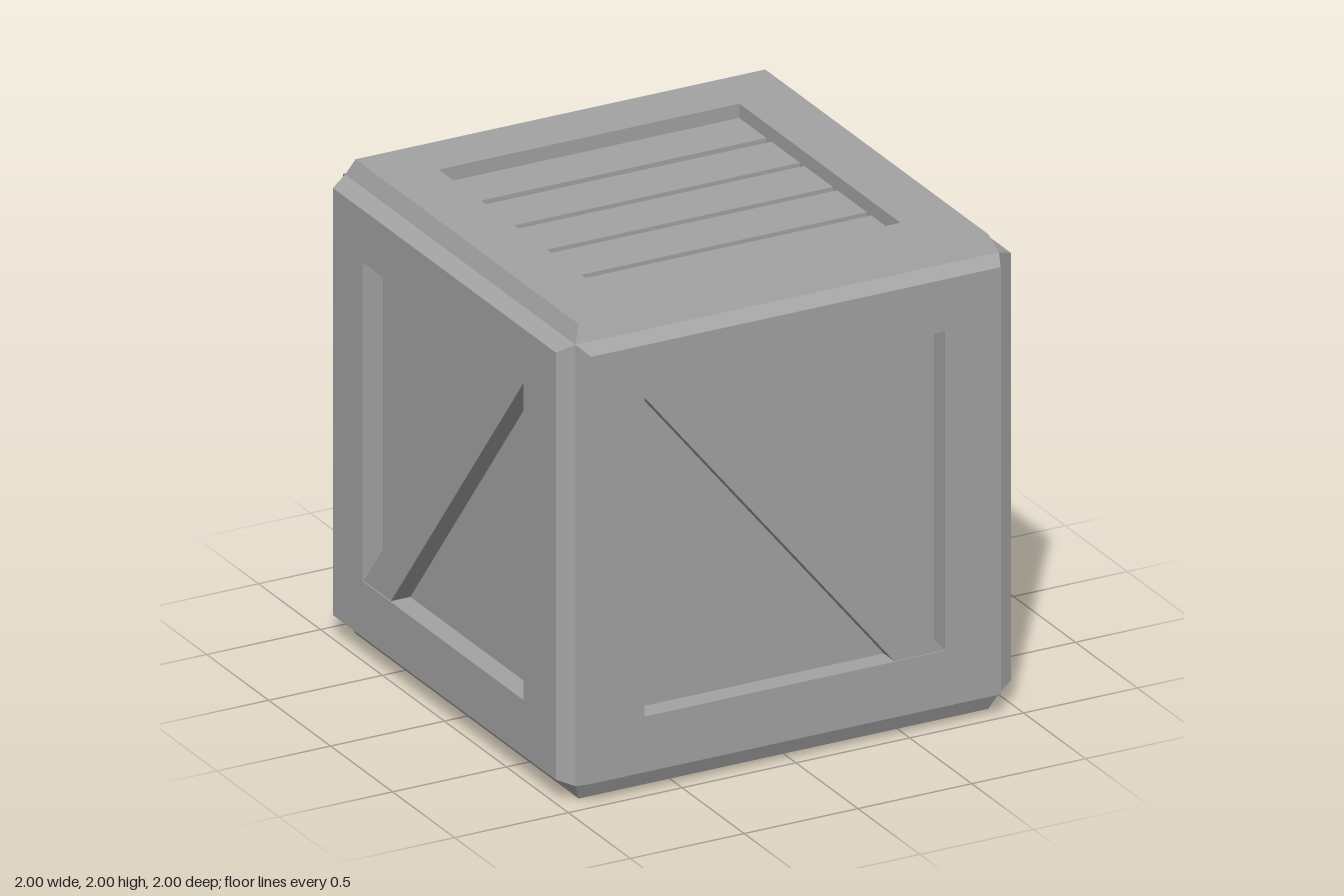
import * as THREE from 'three';

const grey = new THREE.MeshStandardMaterial({ color: 0xa3a3a3, flatShading: true });
grey.name = 'crate grey';

const FACE = 0.9;    // half width of each raised face
const GROOVE = 0.93; // position of the valley along every cube edge

function part(name, geometry, parent) {
  const mesh = new THREE.Mesh(geometry, grey);
  mesh.name = name;
  parent.add(mesh);
  return mesh;
}

function polygon(points) {
  return new THREE.Shape(points.map(([x, y]) => new THREE.Vector2(x, y)));
}

function extrude(shape, from, to) {
  return new THREE.ExtrudeGeometry(shape, { depth: to - from, bevelEnabled: false }).translate(0, 0, from);
}

// One face of the crate, looking along +z: frame, sloping rim and recessed floor
function framedPanel(name, [x0, x1, y0, y1], depth) {
  const panel = new THREE.Group();
  panel.name = name;

  const frame = polygon([[-FACE, -FACE], [FACE, -FACE], [FACE, FACE], [-FACE, FACE]]);
  frame.holes.push(polygon([[x0, y0], [x0, y1], [x1, y1], [x1, y0]]));
  part('frame', extrude(frame, 1 - depth, 1), panel);

  // Four-sided open frustum from the face edge down to the groove
  const rim = new THREE.CylinderGeometry(FACE * Math.SQRT2, GROOVE * Math.SQRT2, 1 - GROOVE, 4, 1, true);
  rim.rotateY(Math.PI / 4).rotateX(Math.PI / 2).translate(0, 0, (1 + GROOVE) / 2);
  part('edgeRim', rim, panel);

  const floor = new THREE.PlaneGeometry(x1 - x0, y1 - y0);
  floor.translate((x0 + x1) / 2, (y0 + y1) / 2, 1 - depth);
  part('recessFloor', floor, panel);
  return panel;
}

// Side with a diagonal brace; rising braces run from bottom left to top right
function bracedSide(name, x0, x1, rising) {
  const depth = 0.09, y0 = -0.665, y1 = 0.68, w = 0.22;
  const panel = framedPanel(name, [x0, x1, y0, y1], depth);
  const outline = rising
    ? [[x0, y0], [x0 + w, y0], [x1, y1], [x1 - w, y1]]
    : [[x0, y1], [x1 - w, y0], [x1, y0], [x0 + w, y1]];
  part('diagonalBrace', extrude(polygon(outline), 1 - depth, 0.995), panel);
  return panel;
}

// Top or bottom with five slats; sign maps world z to the panel's own y
function slattedPanel(name, sign) {
  const depth = 0.1, x0 = -0.665, x1 = 0.655;
  const [y0, y1] = sign > 0 ? [-0.66, 0.64] : [-0.64, 0.66];
  const panel = framedPanel(name, [x0, x1, y0, y1], depth);
  const slats = [[-0.66, -0.44], [-0.4, -0.17], [-0.135, 0.095], [0.13, 0.37], [0.405, 0.64]];
  for (const [a, b] of slats) {
    const slat = part('slat', new THREE.BoxGeometry(x1 - x0, b - a, 0.04), panel);
    slat.position.set((x0 + x1) / 2, sign * (a + b) / 2, 1 - depth + 0.02);
  }
  return panel;
}

export function createModel() {
  const model = new THREE.Group();
  model.name = 'crate';

  const front = bracedSide('frontSide', -0.665, 0.655, false);
  const back = bracedSide('backSide', -0.655, 0.665, false);
  const right = bracedSide('leftSide', -0.64, 0.66, true);
  const left = bracedSide('rightSide', -0.66, 0.64, true);
  back.rotation.y = Math.PI;
  right.rotation.y = Math.PI / 2;
  left.rotation.y = -Math.PI / 2;

  const top = slattedPanel('top', -1);
  const bottom = slattedPanel('bottom', 1);
  top.rotation.x = -Math.PI / 2;
  bottom.rotation.x = Math.PI / 2;

  for (const panel of [front, back, right, left, top, bottom]) {
    panel.position.y = 1;
    model.add(panel);
  }
  return model;
}
